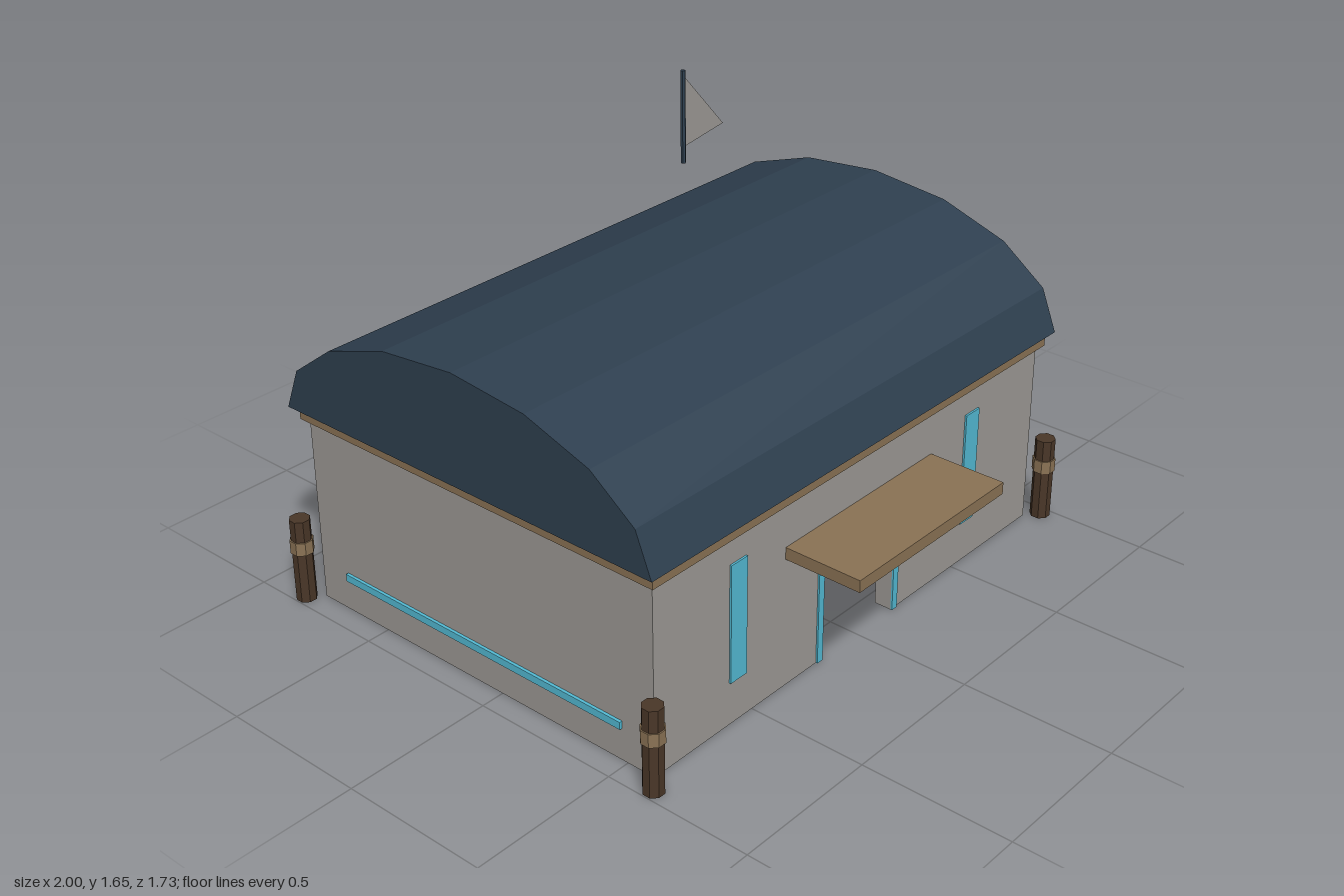
import * as THREE from 'three';

const material = (name, color, extra = {}) => {
  const m = new THREE.MeshStandardMaterial({ color, ...extra });
  m.name = name;
  return m;
};

export function createModel() {
  const stone = material('stone grey', 0x9e9b96);
  const cloth = material('flag grey', 0x9e9b96, { side: THREE.DoubleSide });
  const slate = material('slate blue', 0x2f4050, { flatShading: true });
  const wood = material('light wood', 0x8b7355, { flatShading: true });
  const bark = material('dark wood', 0x4a3728, { flatShading: true });
  const cyan = material('cyan glow', 0x54bbd5);

  const model = new THREE.Group();
  model.name = 'hall';
  const midZ = -0.095;

  const add = (name, geometry, mat, x = 0, y = 0, z = 0, parent = model) => {
    const mesh = new THREE.Mesh(geometry, mat);
    mesh.name = name;
    mesh.position.set(x, y, z);
    parent.add(mesh);
    return mesh;
  };
  // Box given by its lower and upper limits on each axis
  const block = (name, mat, [x0, x1], [y0, y1], [z0, z1]) =>
    add(name, new THREE.BoxGeometry(x1 - x0, y1 - y0, z1 - z0), mat,
      (x0 + x1) / 2, (y0 + y1) / 2, (z0 + z1) / 2);
  const polygon = (points) => new THREE.Shape(points.map(([x, y]) => new THREE.Vector2(x, y)));
  const extrude = (shape, depth) => new THREE.ExtrudeGeometry(shape, { depth, bevelEnabled: false });

  // Walls: hollow and open below, with a doorway in the front
  const W = 0.92, front = 0.6, back = -0.79, t = 0.06, top = 0.64;
  const doorX = 0.175, doorY = 0.38;
  add('frontWall', extrude(polygon([
    [-W, 0], [-doorX, 0], [-doorX, doorY], [doorX, doorY], [doorX, 0], [W, 0], [W, top], [-W, top],
  ]), t), stone, 0, 0, front - t);
  block('backWall', stone, [-W, W], [0, top], [back, back + t]);
  for (const s of [-1, 1]) {
    const side = s > 0 ? 'left' : 'right';
    add(side + 'Wall', new THREE.BoxGeometry(t, top, front - back - 2 * t), stone,
      s * (W - t / 2), top / 2, (front + back) / 2);
    // Long glowing strip low on the side wall
    add(side + 'Strip', new THREE.BoxGeometry(0.012, 0.025, 1.15), cyan, s * (W + 0.004), 0.122, midZ);
    // Narrow window plate on the front
    add(side + 'Window', new THREE.BoxGeometry(0.07, 0.395, 0.009), cyan, s * 0.567, 0.343, front + 0.002);
  }

  // Door frame
  const ox = 0.2, oy = 0.4;
  add('doorFrame', extrude(polygon([
    [-ox, 0], [-doorX, 0], [-doorX, doorY], [doorX, doorY], [doorX, 0], [ox, 0], [ox, oy], [-ox, oy],
  ]), 0.006), cyan, 0, 0, front);

  // Wooden canopy over the door and eaves slab on the walls
  block('canopy', wood, [-0.355, 0.355], [0.44, 0.48], [0.6, 0.865]);
  block('eaves', wood, [-0.94, 0.94], [0.635, 0.682], [-0.81, 0.62]);

  // Faceted barrel roof: half ellipse swept along x
  const arc = [];
  for (let i = 0; i <= 8; i++) {
    const a = (i / 8) * Math.PI;
    arc.push([0.735 * Math.cos(a), 0.365 * Math.sin(a)]);
  }
  const roof = extrude(polygon(arc), 1.93);
  roof.translate(0, 0, -0.965).rotateY(Math.PI / 2);
  add('roof', roof, slate, 0, 0.68, midZ);

  // Corner posts with a lighter band
  const postGeometry = new THREE.CylinderGeometry(0.0335, 0.0335, 0.29, 8).rotateY(Math.PI / 8);
  const bandGeometry = new THREE.CylinderGeometry(0.038, 0.038, 0.045, 8).rotateY(Math.PI / 8);
  for (const x of [-0.965, 0.965]) {
    for (const z of [0.637, -0.83]) {
      const post = new THREE.Group();
      post.name = 'cornerPost';
      post.position.set(x, 0, z);
      add('post', postGeometry, bark, 0, 0.145, 0, post);
      add('postBand', bandGeometry, wood, 0, 0.195, 0, post);
      model.add(post);
    }
  }

  // Flag floating above the ridge
  add('flagPole', new THREE.CylinderGeometry(0.008, 0.008, 0.288, 6), slate, 0, 1.51, midZ);
  add('flag', new THREE.ShapeGeometry(polygon([[0, 1.415], [0.18, 1.44], [0, 1.64]])), cloth, 0, 0, midZ);

  return model;
}
